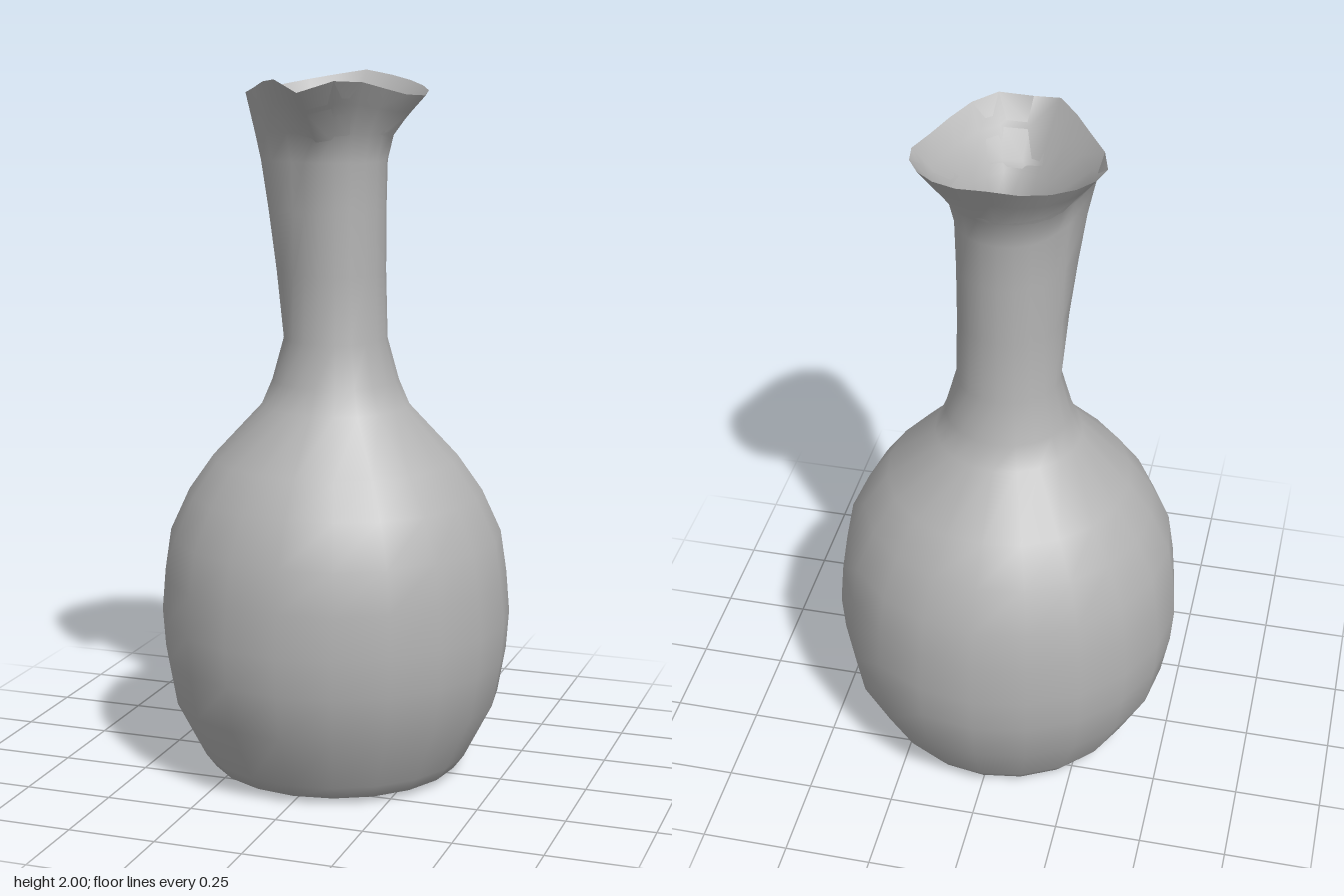
import * as THREE from 'three';

const SIDES = 20;

// Rim outline: [angle in degrees from +x towards +z, radius, height]
const RIM = [
  [0, 0.26, 1.94], [18, 0.24, 1.945], [45, 0.235, 1.97], [66, 0.265, 1.995],
  [90, 0.315, 1.955], [112, 0.265, 1.995], [135, 0.225, 1.97], [162, 0.25, 1.945],
  [180, 0.26, 1.94], [222, 0.255, 1.965], [270, 0.27, 2.0], [318, 0.255, 1.965], [360, 0.26, 1.94],
];

function rimAt(angle) {
  const d = THREE.MathUtils.radToDeg(angle);
  const i = Math.max(1, RIM.findIndex((p) => p[0] >= d));
  const a = RIM[i - 1], b = RIM[i];
  const t = (d - a[0]) / (b[0] - a[0]);
  return [THREE.MathUtils.lerp(a[1], b[1], t), THREE.MathUtils.lerp(a[2], b[2], t)];
}

// Rings: [radius, height, how far the ring follows the rim outline]
const OUTER = [
  [0, 0.005, 0], [0.3, 0.003, 0], [0.36, 0.02, 0], [0.39, 0.06, 0], [0.472, 0.22, 0], [0.495, 0.35, 0],
  [0.503, 0.46, 0], [0.493, 0.58, 0], [0.475, 0.7, 0], [0.42, 0.82, 0], [0.35, 0.92, 0],
  [0.21, 1.07, 0], [0.18, 1.14, 0], [0.147, 1.26, 0], [0.142, 1.45, 0], [0.142, 1.62, 0],
  [0.145, 1.76, 0], [0.15, 1.82, 0.12], [0.15, 1.82, 0.62], [0.15, 1.82, 1],
];
const INNER = [
  [0.15, 1.82, 1], [0.135, 1.81, 0.6], [0.125, 1.78, 0.15], [0.12, 1.7, 0], [0.115, 1.26, 0],
  [0.18, 1.06, 0], [0.39, 0.81, 0], [0.445, 0.7, 0], [0.472, 0.46, 0], [0.445, 0.23, 0],
  [0.35, 0.06, 0], [0, 0.04, 0],
];

// Skin a stack of rings into one smooth closed surface
function skin(rings, fold) {
  const positions = [], index = [];
  rings.forEach(([r, y, follow], k) => {
    for (let i = 0; i < SIDES; i++) {
      const a = (i / SIDES) * Math.PI * 2;
      const [rimR, rimY] = rimAt(a);
      // slanting fold running up the neck on one side
      const rise = THREE.MathUtils.clamp((y - 1.26) / 0.56, 0, 1);
      const bump = fold * rise * Math.exp(-(((a - 2.75) / 0.33) ** 2));
      const radius = THREE.MathUtils.lerp(r + bump, rimR, follow);
      positions.push(radius * Math.cos(a), THREE.MathUtils.lerp(y, rimY, follow), radius * Math.sin(a));
      if (k === 0) continue;
      const j = (i + 1) % SIDES, p = (k - 1) * SIDES, q = k * SIDES;
      if (rings[k - 1][0] > 0) index.push(p + i, q + i, p + j);
      if (r > 0) index.push(p + j, q + i, q + j);
    }
  });
  const geometry = new THREE.BufferGeometry();
  geometry.setAttribute('position', new THREE.Float32BufferAttribute(positions, 3));
  geometry.setIndex(index);
  geometry.computeVertexNormals();
  return geometry;
}

export function createModel() {
  const group = new THREE.Group();
  group.name = 'vase';
  const clay = new THREE.MeshStandardMaterial({ color: 0xb3b3b3 });
  clay.name = 'grey clay';
  clay.side = THREE.DoubleSide;

  // Bulbous body, neck and flared lip
  const outside = new THREE.Mesh(skin(OUTER, 0.075), clay);
  outside.name = 'outerWall';

  // Funnel, neck bore and hollow belly
  const inside = new THREE.Mesh(skin(INNER, 0.03), clay);
  inside.name = 'innerWall';

  group.add(outside, inside);
  return group;
}
